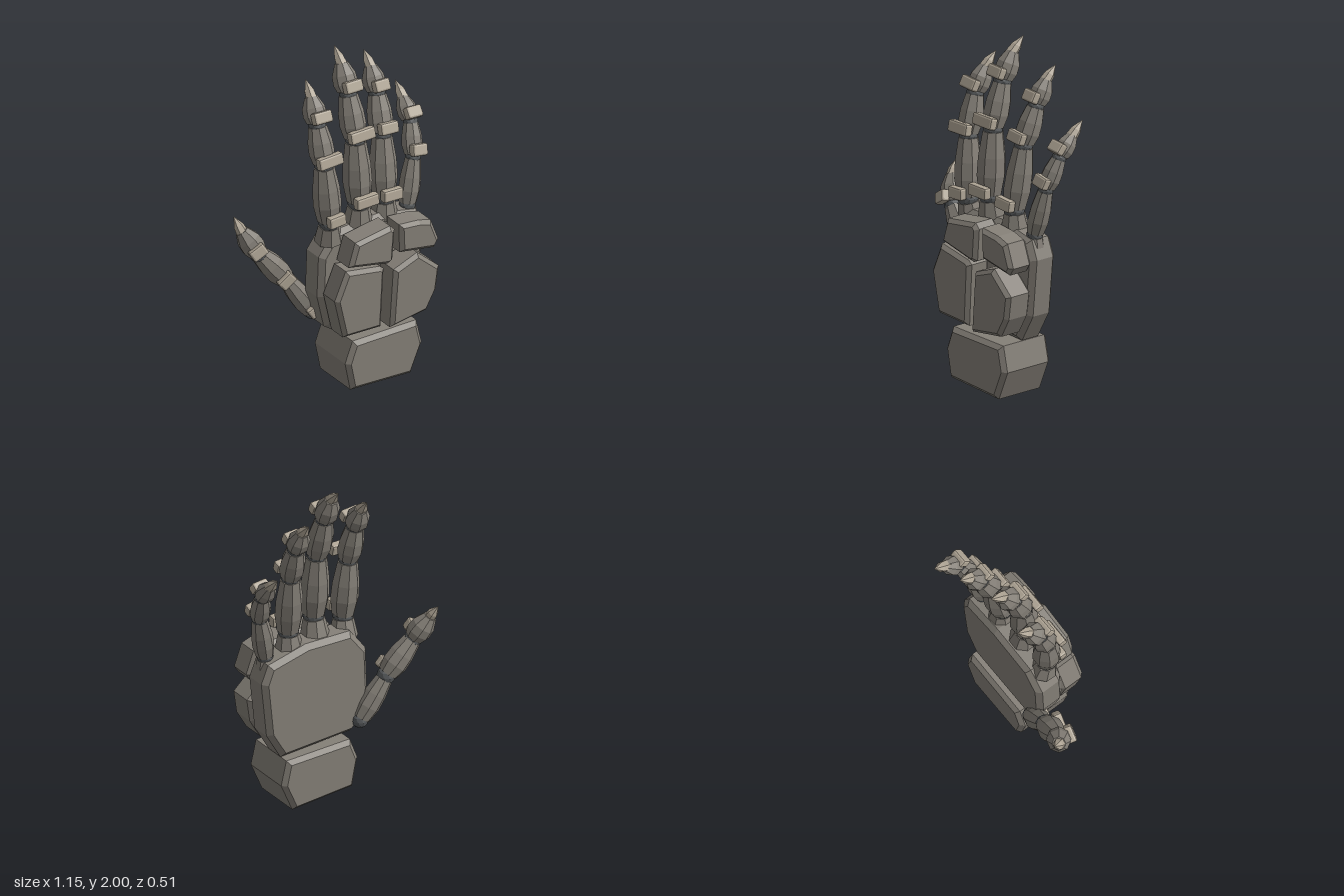
import * as THREE from 'three';
import { RoundedBoxGeometry } from 'three/addons/geometries/RoundedBoxGeometry.js';

const material = (color) => new THREE.MeshStandardMaterial({ color, flatShading: true });
const armour = material(0x858078);
const trim = material(0xb0a696);
const dark = material(0x55585a);

function addMesh(parent, name, geometry, mat) {
  const mesh = new THREE.Mesh(geometry, mat);
  mesh.name = name;
  parent.add(mesh);
  return mesh;
}

// Chamfered slab from an outline in x, y, between two depths
function slab(parent, name, outline, z0, z1, bevel) {
  const shape = new THREE.Shape(outline.map(([x, y]) => new THREE.Vector2(x, y)));
  const geometry = new THREE.ExtrudeGeometry(shape, {
    depth: z1 - z0 - 2 * bevel, bevelEnabled: true, bevelSegments: 1,
    bevelSize: bevel, bevelThickness: bevel, bevelOffset: -bevel,
  });
  geometry.translate(0, 0, z0 + bevel);
  return addMesh(parent, name, geometry, armour);
}

// Eight-sided closed solid along +y; profile holds [radius, height] pairs
function faceted(profile, sides = 8) {
  const points = profile.map(([r, y]) => new THREE.Vector2(r, y));
  return new THREE.LatheGeometry(points, sides).rotateY(Math.PI / sides);
}

// Group standing at a, its y axis towards b and its z axis near the facing direction
function boneFrame(a, b, facing) {
  const y = b.clone().sub(a).normalize();
  const x = y.clone().cross(facing).normalize();
  const z = x.clone().cross(y);
  const group = new THREE.Group();
  group.quaternion.setFromRotationMatrix(new THREE.Matrix4().makeBasis(x, y, z));
  group.position.copy(a);
  return group;
}

// joints: socket, three segment starts, claw start, claw tip
function finger(parent, { name, joints, widths, bands, facing = [0, 0, 1], socket = true }) {
  const group = new THREE.Group();
  group.name = name;
  parent.add(group);
  const p = joints.map((j) => new THREE.Vector3(...j));
  const front = new THREE.Vector3(...facing);

  // Flared socket rising out of the palm
  const root = boneFrame(p[0], p[1], front);
  root.name = 'socket';
  group.add(root);
  const rise = p[0].distanceTo(p[1]);
  const r0 = widths[0] / 2;
  if (socket) {
    addMesh(root, 'socketCone', faceted([[0, 0], [r0 * 1.08, 0], [r0 * 0.8, rise * 0.85], [0, rise * 0.85]]), armour);
  }

  for (let i = 1; i <= 3; i++) {
    const bone = boneFrame(p[i], p[i + 1], front);
    bone.name = 'segment' + i;
    group.add(bone);
    const length = p[i].distanceTo(p[i + 1]);
    const r = widths[i - 1] / 2 * 1.05;
    const end = i === 3 ? 0.55 : 0.72;

    // Knuckle ball between the armoured segments
    addMesh(bone, 'knuckle', new THREE.IcosahedronGeometry(r * 0.74, 1), dark);
    const shell = faceted([
      [0, 0.015], [r * 0.8, 0.015], [r, length * 0.32], [r * 0.96, length * 0.6],
      [r * end, length * 0.97], [0, length * 0.97],
    ]);
    addMesh(bone, 'shell', shell, armour);

    // Raised band across the front of the joint
    const w = bands[i - 1];
    if (w) {
      const h = 0.07;
      const band = addMesh(bone, 'band', new RoundedBoxGeometry(w, h, 0.05, 1, 0.012), trim);
      band.position.set(0, 0.04, r * 0.96);
    }
  }

  // Claw
  const claw = boneFrame(p[4], p[5], front);
  claw.name = 'claw';
  group.add(claw);
  const reach = p[4].distanceTo(p[5]);
  addMesh(claw, 'clawSpike', faceted([[0, -0.03], [0.036, -0.03], [0.03, reach * 0.3], [0, reach]], 6), trim);
}

export function createModel() {
  const hand = new THREE.Group();
  hand.name = 'armouredHand';

  // Wrist block and palm body
  slab(hand, 'wrist', [
    [-0.08, 0.025], [0.325, 0.005], [0.4, 0.18], [0.365, 0.33], [-0.065, 0.33], [-0.115, 0.2],
  ], -0.13, 0.215, 0.025);
  slab(hand, 'palm', [
    [-0.1, 0.35], [0.37, 0.335], [0.465, 0.5], [0.5, 0.84], [0.455, 0.95], [0.2, 1.005],
    [-0.1, 0.99], [-0.205, 0.85], [-0.215, 0.6], [-0.17, 0.4],
  ], -0.085, 0.09, 0.03);

  // Four pads on the palm
  const pads = [
    ['upperRightPad', 0.245, [[-0.115, 0.83], [0.15, 0.775], [0.18, 0.79], [0.195, 0.98], [0.165, 1.01], [-0.07, 0.975]]],
    ['upperLeftPad', 0.245, [[0.23, 0.82], [0.46, 0.78], [0.49, 0.825], [0.44, 0.96], [0.36, 0.985], [0.225, 0.998]]],
    ['lowerRightPad', 0.24, [[-0.15, 0.395], [0.105, 0.385], [0.125, 0.75], [0.1, 0.77], [-0.13, 0.81], [-0.205, 0.64]]],
    ['lowerLeftPad', 0.257, [[0.155, 0.37], [0.4, 0.405], [0.465, 0.52], [0.485, 0.66], [0.34, 0.79], [0.18, 0.73]]],
  ];
  for (const [name, depth, outline] of pads) slab(hand, name, outline, 0.085, depth, 0.022);

  // Fingers and thumb
  const fingers = [
    {
      name: 'indexFinger', widths: [0.155, 0.14, 0.13], bands: [0.11, 0.16, 0.12],
      joints: [[-0.11, 0.92, 0.02], [-0.12, 1.04, 0.04], [-0.14, 1.4, 0.02], [-0.148, 1.635, -0.035], [-0.14, 1.785, -0.11], [-0.132, 1.86, -0.175]],
    },
    {
      name: 'middleFinger', widths: [0.16, 0.145, 0.135], bands: [0.15, 0.165, 0.115],
      joints: [[0.078, 0.98, 0.03], [0.076, 1.105, 0.045], [0.072, 1.495, 0.02], [0.07, 1.76, -0.05], [0.074, 1.925, -0.125], [0.078, 2, -0.2]],
    },
    {
      name: 'ringFinger', widths: [0.155, 0.14, 0.125], bands: [0.13, 0.12, 0.1],
      joints: [[0.26, 0.96, 0.02], [0.262, 1.07, 0.025], [0.282, 1.445, -0.025], [0.3, 1.665, -0.1], [0.305, 1.81, -0.175], [0.306, 1.88, -0.24]],
    },
    {
      name: 'littleFinger', widths: [0.12, 0.115, 0.11], bands: [0, 0.1, 0.1],
      joints: [[0.42, 0.88, 0.015], [0.425, 0.965, 0.015], [0.485, 1.24, -0.015], [0.517, 1.42, -0.085], [0.525, 1.54, -0.18], [0.525, 1.61, -0.25]],
    },
    {
      name: 'thumb', widths: [0.125, 0.14, 0.135], bands: [0.06, 0.1, 0.1], facing: [-0.2, 0, 1], socket: false,
      joints: [[-0.1, 0.36, -0.07], [-0.145, 0.42, -0.09], [-0.305, 0.665, -0.115], [-0.465, 0.86, -0.145], [-0.545, 1.01, -0.205], [-0.565, 1.085, -0.25]],
    },
  ];
  for (const spec of fingers) finger(hand, spec);
  return hand;
}
